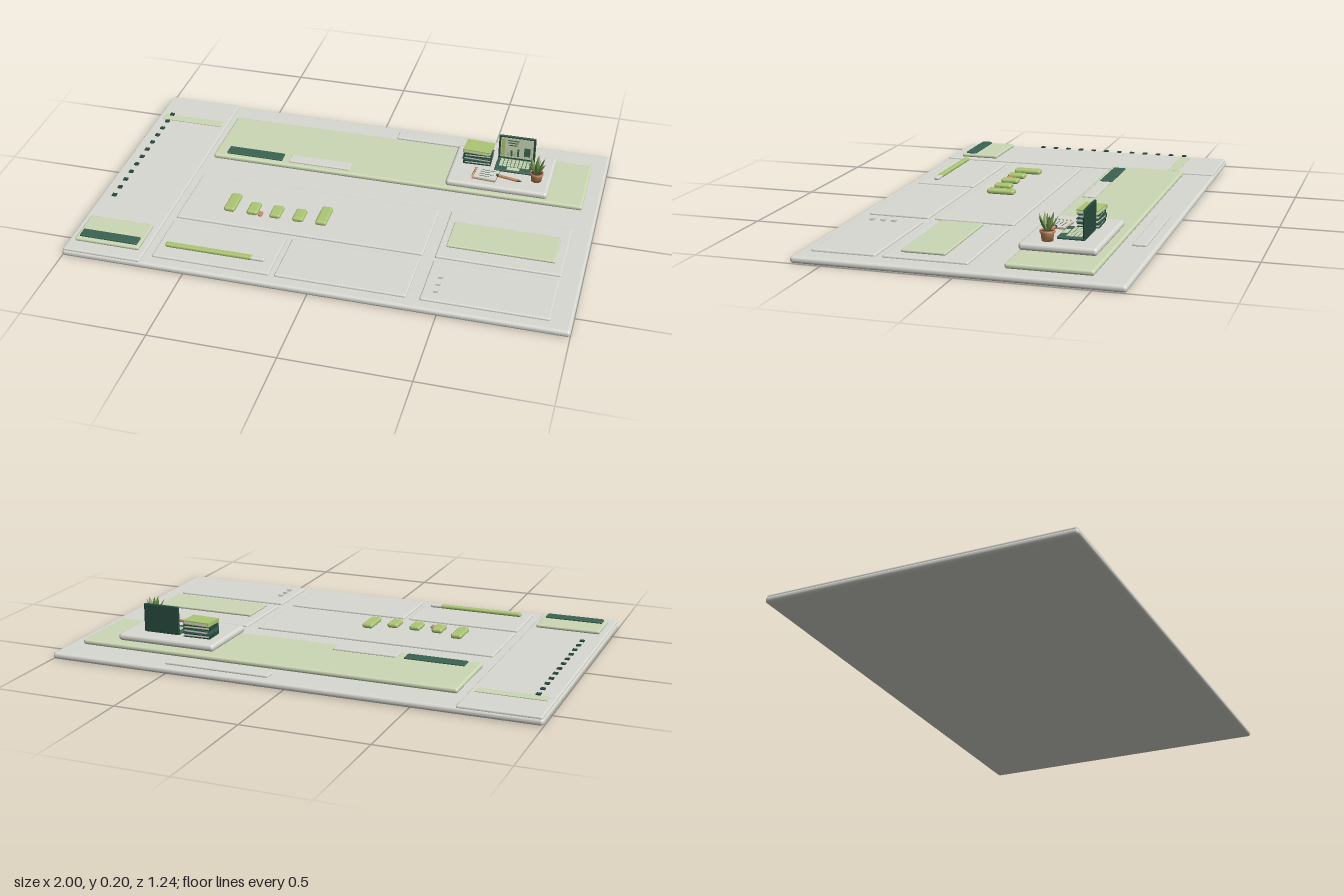
import * as THREE from 'three';
import { RoundedBoxGeometry } from 'three/addons/geometries/RoundedBoxGeometry.js';

function material(name, color, side = THREE.FrontSide) {
  const m = new THREE.MeshStandardMaterial({ color, side });
  m.name = name;
  return m;
}

export function createModel() {
  const grey = material('warm grey', 0xd8d9d1);
  const sage = material('pale sage', 0xcbd8b4);
  const lime = material('leaf green', 0xacc673);
  const leafGreen = material('plant green', 0x6f8f4a, THREE.DoubleSide);
  const pine = material('pine green', 0x3a6352);
  const dark = material('deep green', 0x274a3d);
  const clay = material('terracotta', 0xc78d62);
  const soil = material('soil brown', 0x4a3a2e);

  const model = new THREE.Group();
  model.name = 'dashboardBoard';

  const add = (parent, name, geometry, mat, x = 0, y = 0, z = 0) => {
    const mesh = new THREE.Mesh(geometry, mat);
    mesh.name = name;
    mesh.position.set(x, y, z);
    parent.add(mesh);
    return mesh;
  };
  // Rounded slab given by its extents
  const slab = (name, mat, x0, x1, y0, y1, z0, z1, parent = model) => {
    const w = x1 - x0, h = y1 - y0, d = z1 - z0;
    const r = Math.min(w, h, d) * 0.45;
    return add(parent, name, new RoundedBoxGeometry(w, h, d, 3, r), mat,
      (x0 + x1) / 2, (y0 + y1) / 2, (z0 + z1) / 2);
  };
  // Sharp box given by centre and size
  const box = (parent, name, mat, x, y, z, w, h, d) =>
    add(parent, name, new THREE.BoxGeometry(w, h, d), mat, x, y, z);

  // Board, sidebar and search field
  slab('baseBoard', grey, -1, 1, 0, 0.027, -0.622, 0.622);
  slab('sidebar', grey, -0.995, -0.675, 0.02, 0.035, -0.617, 0.617);
  slab('searchField', grey, 0.08, 0.517, 0.024, 0.036, -0.582, -0.528);

  // Sidebar menu
  slab('activeMenuItem', sage, -0.97, -0.697, 0.034, 0.039, -0.457, -0.413);
  for (let i = 0; i < 12; i++) {
    box(model, 'menuIcon', dark, -0.932, 0.052, -0.437 + i * 0.0612, 0.018, 0.005, 0.018);
  }
  slab('promoCard', sage, -0.967, -0.7, 0.035, 0.05, 0.393, 0.56);
  slab('promoButton', pine, -0.953, -0.713, 0.047, 0.058, 0.498, 0.544);

  // Banner with two buttons and the raised stage
  slab('banner', sage, -0.643, 0.937, 0.03, 0.051, -0.493, -0.168);
  slab('primaryButton', pine, -0.59, -0.344, 0.048, 0.058, -0.242, -0.189);
  slab('secondaryButton', grey, -0.314, -0.047, 0.048, 0.058, -0.242, -0.189);
  slab('stage', grey, 0.367, 0.79, 0.056, 0.085, -0.465, -0.172);

  // Cards
  const cards = [
    [-0.641, 0.378, -0.03, 0.295], [0.426, 0.92, -0.03, 0.295],
    [-0.641, -0.165, 0.322, 0.573], [-0.143, 0.375, 0.322, 0.573], [0.426, 0.918, 0.322, 0.573],
  ];
  for (const [x0, x1, z0, z1] of cards) slab('card', grey, x0, x1, 0.022, 0.036, z0, z1);

  // Card contents
  [0.103, 0.145, 0.145, 0.145, 0.103].forEach((z0, i) => {
    const x = -0.443 + i * 0.0963;
    slab('chartBar', lime, x - 0.023, x + 0.023, 0.04, 0.06, z0, 0.22);
  });
  slab('chartMarker', clay, -0.321, -0.303, 0.041, 0.053, 0.195, 0.222);
  slab('previewPanel', sage, 0.458, 0.886, 0.042, 0.053, 0.066, 0.236);
  slab('progressTrack', grey, -0.605, -0.202, 0.04, 0.053, 0.494, 0.514);
  slab('progressFill', lime, -0.606, -0.25, 0.04, 0.056, 0.492, 0.516);
  for (let i = 0; i < 3; i++) {
    box(model, 'checkbox', grey, 0.477, 0.039, 0.426 + i * 0.0455, 0.018, 0.01, 0.018);
  }

  const top = 0.085;

  // Stack of books: two covers, a spine and pages each
  const books = new THREE.Group();
  books.name = 'bookStack';
  books.position.set(0.47, top, -0.362);
  model.add(books);
  [[0.03, dark], [-0.05, pine], [0.04, dark], [-0.06, lime]].forEach(([turn, mat], i) => {
    const book = new THREE.Group();
    book.name = 'book';
    book.position.y = 0.001 + i * 0.0168;
    book.rotation.y = turn;
    books.add(book);
    box(book, 'lowerCover', mat, 0, 0.002, 0, 0.116, 0.004, 0.084);
    box(book, 'pages', grey, 0.002, 0.008, 0, 0.106, 0.008, 0.076);
    box(book, 'upperCover', mat, 0, 0.014, 0, 0.116, 0.004, 0.084);
    box(book, 'spine', mat, -0.056, 0.008, 0, 0.004, 0.008, 0.084);
  });

  // Laptop
  const laptop = new THREE.Group();
  laptop.name = 'laptop';
  laptop.position.set(0.627, top, -0.393);
  model.add(laptop);
  slab('laptopBase', pine, -0.078, 0.078, 0, 0.01, -0.006, 0.1, laptop);
  slab('laptopLid', dark, -0.078, 0.078, 0.004, 0.118, -0.007, 0.003, laptop);
  box(laptop, 'screen', sage, 0, 0.063, 0.003, 0.138, 0.094, 0.003);
  for (let r = 0; r < 4; r++) {
    for (let c = 0; c < 8; c++) {
      box(laptop, 'key', sage, -0.056 + c * 0.016, 0.0105, 0.018 + r * 0.015, 0.013, 0.003, 0.012);
    }
  }
  box(laptop, 'trackpad', sage, 0, 0.0105, 0.084, 0.052, 0.003, 0.02);
  // Screen picture: side strip, text lines and small bars
  box(laptop, 'screenStrip', lime, -0.058, 0.063, 0.005, 0.014, 0.084, 0.002);
  for (let i = 0; i < 3; i++) {
    box(laptop, 'screenLine', pine, -0.016, 0.098 - i * 0.011, 0.005, 0.05 - i * 0.008, 0.004, 0.002);
  }
  [0.016, 0.028, 0.02, 0.036].forEach((h, i) =>
    box(laptop, 'screenBar', i % 2 ? pine : lime, -0.036 + i * 0.014, 0.024 + h / 2, 0.005, 0.008, h, 0.002));
  box(laptop, 'screenTile', pine, 0.044, 0.05, 0.005, 0.026, 0.04, 0.002);

  // Open notebook with ring binding and written lines
  const notebook = new THREE.Group();
  notebook.name = 'notebook';
  notebook.position.set(0.523, top, -0.25);
  notebook.rotation.y = -0.08;
  model.add(notebook);
  box(notebook, 'cover', clay, 0, 0.002, 0, 0.1, 0.004, 0.082);
  box(notebook, 'paper', grey, 0.002, 0.006, 0, 0.094, 0.006, 0.077);
  for (let i = 0; i < 5; i++) {
    const ring = add(notebook, 'ring', new THREE.TorusGeometry(0.006, 0.0015, 6, 12), clay, -0.047, 0.006, -0.03 + i * 0.015);
    ring.rotation.x = 0.1;
  }
  for (let i = 0; i < 4; i++) {
    box(notebook, 'writtenLine', pine, 0.004 - (i % 2) * 0.008, 0.0095, -0.024 + i * 0.015, 0.06 - (i % 2) * 0.016, 0.001, 0.002);
  }

  // Pencil
  const pencil = new THREE.Group();
  pencil.name = 'pencil';
  pencil.position.set(0.626, top + 0.008, -0.238);
  pencil.rotation.y = -0.22;
  model.add(pencil);
  const along = (name, geo, mat, x) => { add(pencil, name, geo, mat, x).rotation.z = -Math.PI / 2; };
  along('pencilShaft', new THREE.CylinderGeometry(0.006, 0.006, 0.085, 8), clay, -0.008);
  along('pencilTip', new THREE.ConeGeometry(0.006, 0.022, 8), soil, 0.0455);
  along('pencilEnd', new THREE.CylinderGeometry(0.0065, 0.0065, 0.01, 8), dark, -0.055);

  // Potted plant
  const plant = new THREE.Group();
  plant.name = 'pottedPlant';
  plant.position.set(0.731, top, -0.266);
  model.add(plant);
  const potProfile = [[0, 0], [0.021, 0], [0.025, 0.03], [0.028, 0.03], [0.028, 0.039], [0.024, 0.039], [0.023, 0.034], [0, 0.034]];
  add(plant, 'pot', new THREE.LatheGeometry(potProfile.map(p => new THREE.Vector2(...p)), 20), clay);
  add(plant, 'soil', new THREE.CylinderGeometry(0.0235, 0.0235, 0.002, 20), soil, 0, 0.035, 0);
  // Leaves are flattened spindles leaning outward
  const leafProfile = [[0, 0], [0.005, 0.008], [0.0095, 0.03], [0.007, 0.05], [0, 0.072]];
  const leafGeo = new THREE.LatheGeometry(leafProfile.map(p => new THREE.Vector2(...p)), 8);
  leafGeo.scale(1, 1, 0.35);
  for (let i = 0; i < 7; i++) {
    const stem = new THREE.Group();
    stem.name = 'leafPivot';
    stem.position.y = 0.034;
    stem.rotation.y = i * Math.PI * 2 / 6;
    plant.add(stem);
    const leaf = add(stem, 'leaf', leafGeo, leafGreen, 0, 0, i < 6 ? 0.006 : 0);
    leaf.rotation.x = i < 6 ? 0.38 + (i % 2) * 0.14 : 0;
  }
  return model;
}
